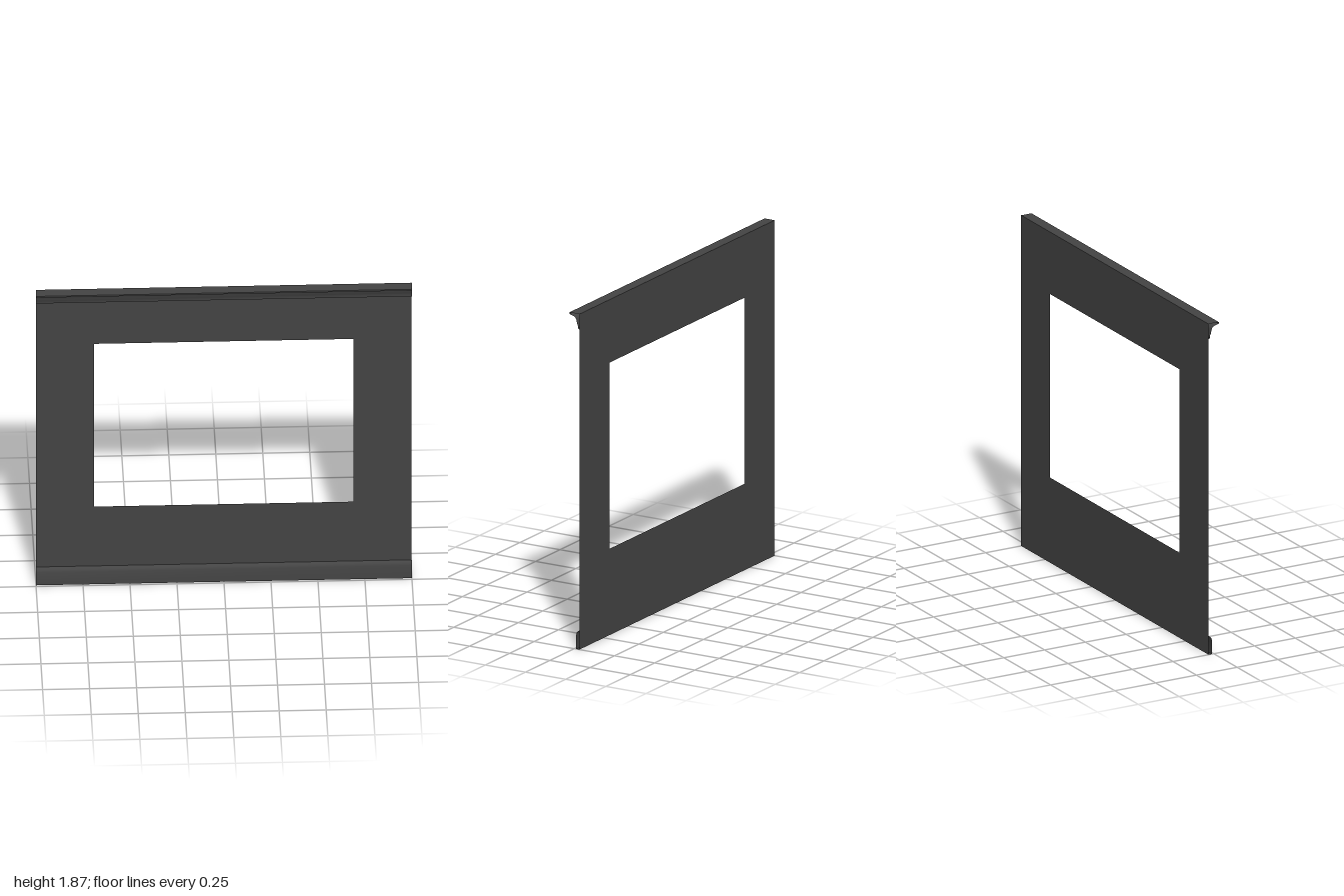
import * as THREE from 'three';
import { toCreasedNormals } from 'three/addons/utils/BufferGeometryUtils.js';

const HALF = 1, HEIGHT = 1.865, BACK = -0.032;
const material = new THREE.MeshStandardMaterial({ color: 0x444444, side: THREE.DoubleSide });

// Sweep an open [z, y] profile along the full width, leaving the ends open.
function sweep(name, profile) {
  const positions = [], index = [];
  profile.forEach(([z, y], i) => {
    positions.push(-HALF, y, z, HALF, y, z);
    if (i > 0) {
      const a = 2 * (i - 1);
      index.push(a, a + 1, a + 3, a, a + 3, a + 2);
    }
  });
  const geometry = new THREE.BufferGeometry();
  geometry.setAttribute('position', new THREE.Float32BufferAttribute(positions, 3));
  geometry.setIndex(index);
  const mesh = new THREE.Mesh(toCreasedNormals(geometry, 0.7), material);
  mesh.name = name;
  return mesh;
}

function rectangle(Type, x, y0, y1) {
  const path = new Type();
  path.moveTo(-x, y0).lineTo(x, y0).lineTo(x, y1).lineTo(-x, y1).closePath();
  return path;
}

export function createModel() {
  const group = new THREE.Group();
  group.name = 'windowWall';

  // Thin wall sheet with the window opening
  const shape = rectangle(THREE.Shape, HALF, 0, HEIGHT);
  shape.holes.push(rectangle(THREE.Path, 0.69, 0.48, 1.515));
  const wall = new THREE.Mesh(new THREE.ShapeGeometry(shape), material);
  wall.name = 'wall';
  wall.position.z = BACK;
  group.add(wall);

  // Skirting with an eased top edge
  group.add(sweep('baseboard', [
    [BACK, 0], [-0.012, 0], [-0.012, 0.08], [-0.016, 0.093], [-0.023, 0.1], [BACK, 0.103],
  ]));

  // Cornice: stepped cove rising to a thin projecting lip
  group.add(sweep('crownMolding', [
    [BACK, 1.78], [-0.023, 1.784], [-0.022, 1.8], [-0.017, 1.81], [-0.014, 1.828],
    [-0.007, 1.843], [0.01, 1.851], [0.031, 1.856], [0.031, HEIGHT], [-0.007, HEIGHT], [BACK, HEIGHT],
  ]));
  return group;
}
